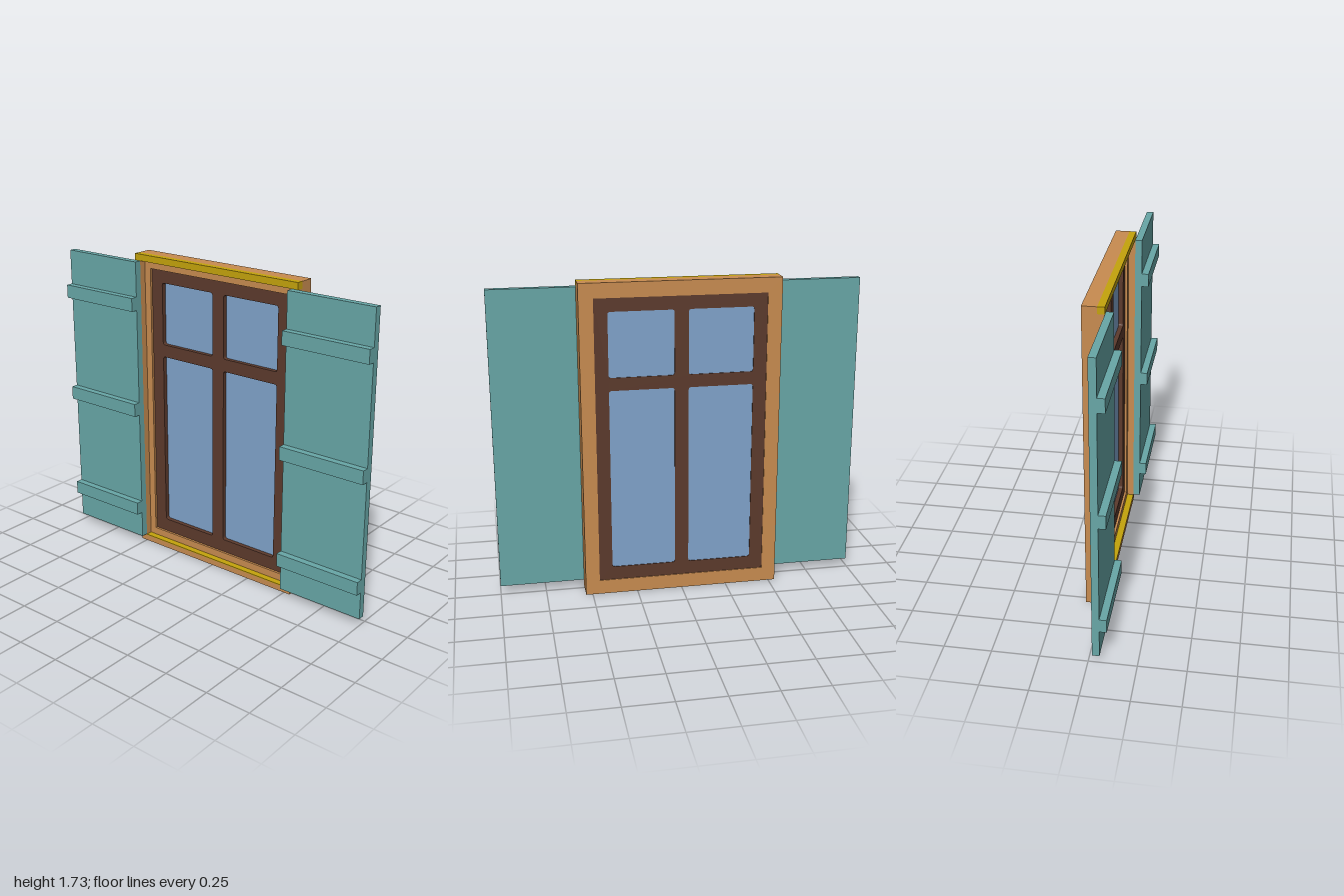
import * as THREE from 'three';

const material = (name, color) => {
  const m = new THREE.MeshStandardMaterial({ color });
  m.name = name;
  return m;
};

// Rectangle with rounded corners, centred on (cx, cy)
function roundedRect(path, cx, cy, w, h, r) {
  const l = cx - w / 2, b = cy - h / 2, R = l + w, t = b + h;
  path.moveTo(l + r, b);
  path.lineTo(R - r, b);
  path.quadraticCurveTo(R, b, R, b + r);
  path.lineTo(R, t - r);
  path.quadraticCurveTo(R, t, R - r, t);
  path.lineTo(l + r, t);
  path.quadraticCurveTo(l, t, l, t - r);
  path.lineTo(l, b + r);
  path.quadraticCurveTo(l, b, l + r, b);
  return path;
}

function rect(path, halfWidth, y0, y1) {
  path.moveTo(-halfWidth, y0);
  path.lineTo(halfWidth, y0);
  path.lineTo(halfWidth, y1);
  path.lineTo(-halfWidth, y1);
  path.closePath();
  return path;
}

export function createModel() {
  const group = new THREE.Group();
  group.name = 'shutteredWindow';
  const wood = material('lightWood', 0xc88c50);
  const darkWood = material('darkWood', 0x5c3a2c);
  const glass = material('paleBlueGlass', 0x80a3cb);
  const teal = material('tealPaint', 0x68a7a7);
  const yellow = material('yellowPaint', 0xc4a30c);

  const add = (name, geometry, mat) => {
    const mesh = new THREE.Mesh(geometry, mat);
    mesh.name = name;
    group.add(mesh);
  };
  // Box from its limits on each axis
  const box = (name, mat, [x0, x1], [y0, y1], [z0, z1]) => {
    const g = new THREE.BoxGeometry(x1 - x0, y1 - y0, z1 - z0);
    g.translate((x0 + x1) / 2, (y0 + y1) / 2, (z0 + z1) / 2);
    add(name, g, mat);
  };
  // Upright outline extruded along x
  const slab = (name, mat, shape, x0, x1) => {
    const g = new THREE.ExtrudeGeometry(shape, { depth: x1 - x0, bevelEnabled: false, curveSegments: 4 });
    g.rotateY(Math.PI / 2);
    g.translate(x0, 0, 0);
    add(name, g, mat);
  };

  // Outer frame with a rebate on the shutter side
  const back = -0.02, step = 0.017, front = 0.093;
  const outer = rect(new THREE.Shape(), 0.537, 0, 1.732);
  outer.holes.push(rect(new THREE.Path(), 0.46, 0.08, 1.652));
  slab('outerFrame', wood, outer, step, front);
  for (const s of [-1, 1]) {
    const z = [0.5 * s, 0.537 * s].sort((a, b) => a - b);
    box('frameSideLip', wood, [back, step], [0, 1.695], z);
  }
  box('frameBottomLip', wood, [back, step], [0, 0.033], [-0.5, 0.5]);
  box('frameSill', yellow, [back, step], [0.033, 0.038], [-0.5, 0.5]);
  box('frameTopLip', yellow, [back, step], [1.695, 1.732], [-0.537, 0.537]);

  // Sash with four rounded openings, and the panes filling them
  const sash = rect(new THREE.Shape(), 0.46, 0.08, 1.652);
  const panes = [];
  for (const s of [-1, 1]) {
    for (const [y0, y1] of [[0.155, 1.16], [1.23, 1.58]]) {
      const args = [0.2125 * s, (y0 + y1) / 2, 0.35, y1 - y0, 0.015];
      sash.holes.push(roundedRect(new THREE.Path(), ...args));
      panes.push(roundedRect(new THREE.Shape(), ...args));
    }
  }
  slab('sash', darkWood, sash, 0.03, 0.089);
  panes.forEach((pane) => slab('glassPane', glass, pane, 0.055, 0.085));

  // Open shutters, each a board with three battens
  for (const s of [-1, 1]) {
    const z = [0.5 * s, s].sort((a, b) => a - b);
    box('shutterBoard', teal, [-0.058, back], [0.04, 1.695], z);
    for (const y of [0.195, 0.81, 1.425]) {
      box('shutterBatten', teal, [-0.096, -0.058], [y, y + 0.075], z);
    }
  }
  return group;
}
